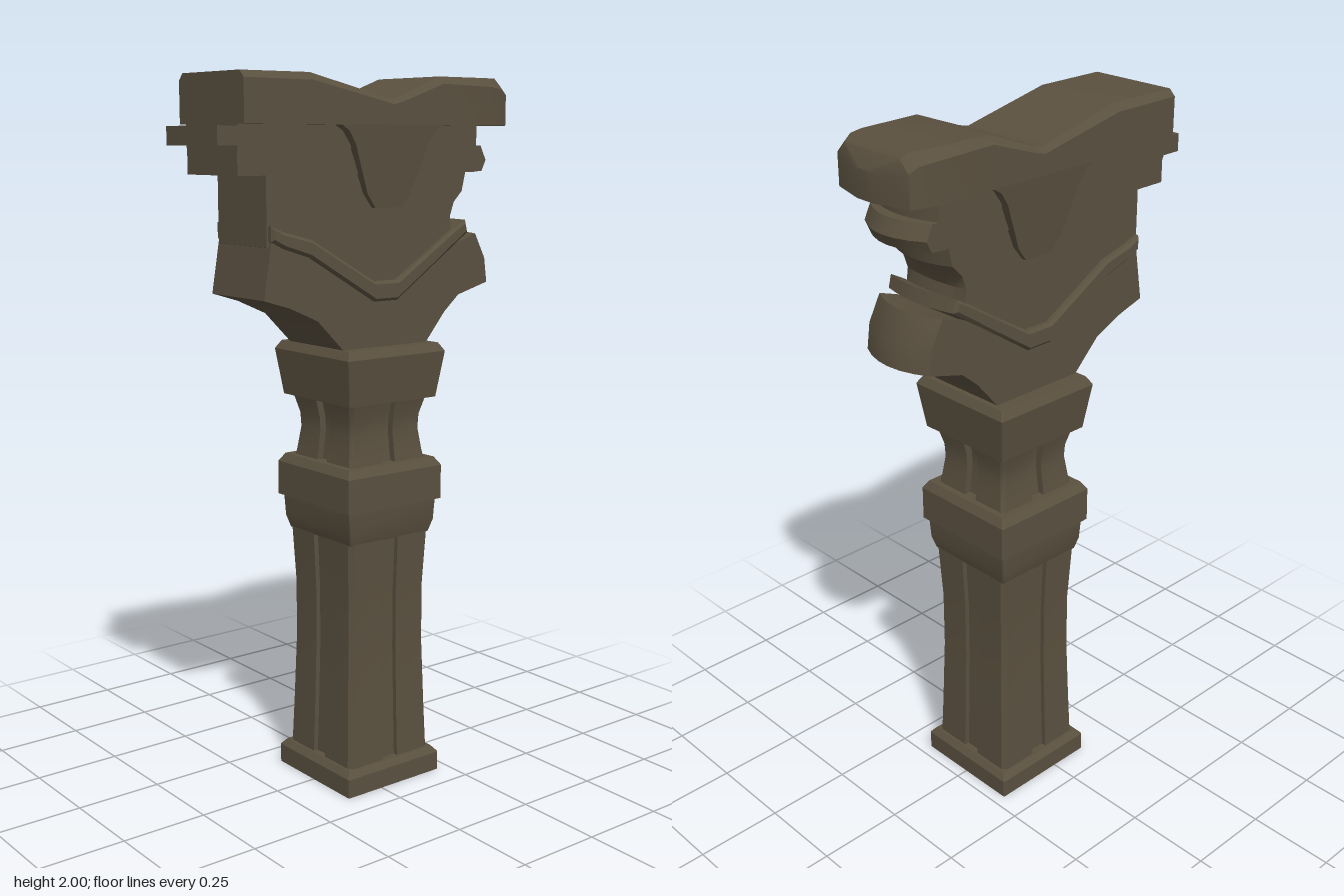
import * as THREE from 'three';
import { toCreasedNormals } from 'three/addons/utils/BufferGeometryUtils.js';

const stone = new THREE.MeshStandardMaterial({ color: 0x5a503f });
stone.name = 'brown stone';
const COLUMN_Z = -0.047;

function part(name, geometry, crease = 0.5) {
  const mesh = new THREE.Mesh(toCreasedNormals(geometry, crease), stone);
  mesh.name = name;
  return mesh;
}

// Skin a row of rings (counter-clockwise about the direction of travel), with fan caps.
function loft(rings) {
  const pos = [];
  const tri = (...pts) => pts.forEach((p) => pos.push(p.x, p.y, p.z));
  const middle = (ring) => ring.reduce((s, p) => s.add(p), new THREE.Vector3()).divideScalar(ring.length);
  const n = rings[0].length, last = rings[rings.length - 1];
  const c0 = middle(rings[0]), c1 = middle(last);
  for (let j = 0; j < n; j++) {
    const k = (j + 1) % n;
    for (let i = 0; i < rings.length - 1; i++) {
      const a = rings[i], b = rings[i + 1];
      tri(a[j], a[k], b[k]);
      tri(a[j], b[k], b[j]);
    }
    tri(c0, rings[0][k], rings[0][j]);
    tri(c1, last[j], last[k]);
  }
  const g = new THREE.BufferGeometry();
  g.setAttribute('position', new THREE.Float32BufferAttribute(pos, 3));
  g.computeVertexNormals();
  return g;
}

// Square column ring with clipped corners and an optional groove in each side.
function squareRing(y, h, clip, groove, depth) {
  const side = [[-h + clip, h]];
  if (groove) side.push([-groove, h], [-groove, h - depth], [groove, h - depth], [groove, h]);
  side.push([h - clip, h]);
  const ring = [];
  for (let s = 0; s < 4; s++) {
    const c = Math.round(Math.cos(s * Math.PI / 2)), n = Math.round(Math.sin(s * Math.PI / 2));
    for (const [x, z] of side) ring.push(new THREE.Vector3(x * c + z * n, y, z * c - x * n + COLUMN_Z));
  }
  return ring;
}

// levels: [height, half width]
function columnPart(name, levels, clip = 0.003, groove = 0, depth = 0) {
  return part(name, loft(levels.map(([y, h]) => squareRing(y, h, clip, groove, depth))));
}

// Side profile of [z, y] points extruded across x; the back end may be rounded in plan.
function bracketPart(name, points, half, { bevel = 0, round = 0, taper = null } = {}) {
  const shape = new THREE.Shape(points.map(([z, y]) => new THREE.Vector2(z, y)));
  const depth = 2 * (half - bevel);
  const g = new THREE.ExtrudeGeometry(shape, {
    depth, steps: 6, bevelEnabled: bevel > 0, bevelSize: bevel,
    bevelThickness: bevel, bevelOffset: -bevel, bevelSegments: 1,
  });
  g.translate(0, 0, -depth / 2).rotateY(-Math.PI / 2);
  const p = g.attributes.position;
  for (let i = 0; i < p.count; i++) {
    const x = p.getX(i), y = p.getY(i), z = p.getZ(i);
    const back = THREE.MathUtils.clamp((-z - 0.25) / 0.1, 0, 1);
    p.setZ(i, z + round * back * (x / half) ** 2);
    if (taper) p.setX(i, x * taper(y));
  }
  g.computeVertexNormals();
  return part(name, g);
}

// Top cap ring: flat underside and bevelled upper edges.
function capRing([z, top, h, bevel]) {
  const low = top - bevel;
  return [[-h, 1.87], [h, 1.87], [h, low], [h - bevel, top], [-h + bevel, top], [-h, low]]
    .map(([x, y]) => new THREE.Vector3(x, y, z));
}

export function createModel() {
  const model = new THREE.Group();
  model.name = 'carved bracket column';

  // Square column, from the plinth up
  const column = new THREE.Group();
  column.name = 'column';
  column.add(
    columnPart('plinth', [[0, 0.167], [0.055, 0.167], [0.073, 0.152]]),
    columnPart('shaft', [[0.06, 0.146], [0.2, 0.141], [0.4, 0.135], [0.57, 0.135], [0.74, 0.143]], 0.012, 0.027, 0.014),
    columnPart('collar', [[0.73, 0.142], [0.765, 0.152], [0.835, 0.156]]),
    columnPart('collarBlock', [[0.828, 0.167], [0.925, 0.167], [0.948, 0.152]]),
    columnPart('neck', [[0.94, 0.135], [0.97, 0.13], [1.03, 0.122], [1.07, 0.124], [1.125, 0.138]], 0.01, 0.022, 0.02),
    columnPart('capital', [[1.122, 0.154], [1.252, 0.172], [1.275, 0.158]]),
  );
  model.add(column);

  // Bracket head
  const head = new THREE.Group();
  head.name = 'bracketHead';
  head.add(
    bracketPart('lowerBracket', [
      [0.1, 1.27], [-0.185, 1.27], [-0.26, 1.355], [-0.34, 1.4], [-0.452, 1.43], [-0.442, 1.5],
      [-0.405, 1.57], [-0.32, 1.545], [-0.23, 1.5], [-0.08, 1.405], [0, 1.405], [0.22, 1.54],
      [0.335, 1.585], [0.362, 1.425], [0.28, 1.4], [0.19, 1.36],
    ], 0.122, { round: 0.035 }),
    bracketPart('vMoulding', [
      [0.34, 1.575], [0.3, 1.555], [0.22, 1.53], [0.0, 1.4], [-0.08, 1.4], [-0.22, 1.495], [-0.355, 1.575],
      [-0.345, 1.61], [-0.29, 1.585], [-0.2, 1.53], [-0.08, 1.455], [0, 1.455], [0.21, 1.575], [0.3, 1.598], [0.34, 1.615],
    ], 0.132, { bevel: 0.008, round: 0.02 }),
    bracketPart('upperBracket', [
      [0.345, 1.745], [0.345, 1.56], [0.2, 1.53], [0, 1.42], [-0.08, 1.42], [-0.22, 1.51], [-0.305, 1.57],
      [-0.295, 1.62], [-0.315, 1.66], [-0.355, 1.69], [-0.368, 1.745],
    ], 0.112, { round: 0.03 }),
    bracketPart('lowerSlab', [
      [0.435, 1.742], [-0.4, 1.742], [-0.435, 1.745], [-0.45, 1.775], [-0.43, 1.815], [0.435, 1.815],
    ], 0.117, { round: 0.04 }),
    bracketPart('upperSlab', [
      [0.435, 1.81], [-0.4, 1.81], [-0.4, 1.875], [0.435, 1.875],
    ], 0.12, { round: 0.03 }),
    bracketPart('frontTab', [
      [0.495, 1.817], [0.3, 1.817], [0.3, 1.866], [0.495, 1.866],
    ], 0.12),
    bracketPart('sideShield', [
      [0.13, 1.87], [0.105, 1.855], [0.08, 1.82], [0.03, 1.69], [0, 1.652], [-0.09, 1.652],
      [-0.12, 1.69], [-0.17, 1.82], [-0.195, 1.855], [-0.22, 1.87],
    ], 0.15, { taper: (y) => 0.85 + 0.15 * (y - 1.65) / 0.22 }),
    // [z, top height, half width, bevel] from back to front
    part('topCap', loft([
      [-0.497, 1.945, 0.03, 0.012], [-0.47, 1.985, 0.132, 0.03], [-0.445, 2, 0.14, 0.03], [-0.4, 2, 0.15, 0.025],
      [-0.22, 2, 0.15, 0.02], [-0.075, 1.945, 0.15, 0.015], [-0.045, 1.938, 0.15, 0.015],
      [-0.015, 1.945, 0.15, 0.015], [0.22, 2, 0.15, 0.02], [0.435, 2, 0.15, 0.018],
    ].map(capRing))),
  );
  model.add(head);
  return model;
}
